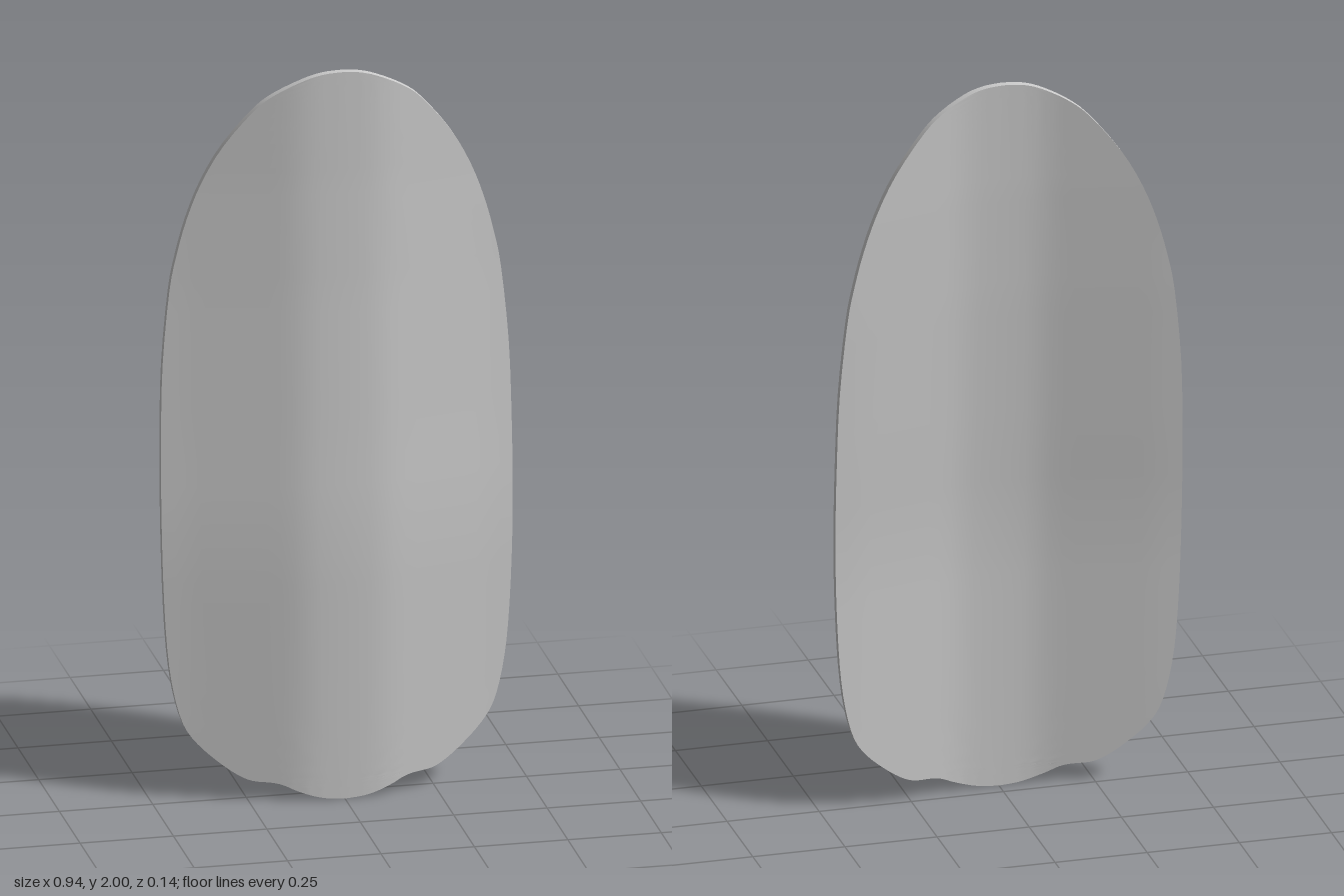
import * as THREE from 'three';
import { mergeVertices, toCreasedNormals } from 'three/addons/utils/BufferGeometryUtils.js';

const THICKNESS = 0.02;
const COLUMNS = 28;

// Half outline (x, y), from the bottom tip round to the top
const outline = [
  [0.004, 0], [0.05, 0.004], [0.09, 0.014], [0.13, 0.029], [0.16, 0.043], [0.19, 0.05],
  [0.24, 0.055], [0.28, 0.073], [0.33, 0.11], [0.38, 0.157], [0.415, 0.21], [0.44, 0.3],
  [0.456, 0.42], [0.466, 0.6], [0.47, 0.8], [0.469, 1.0], [0.463, 1.2], [0.444, 1.4],
  [0.425, 1.5], [0.398, 1.6], [0.36, 1.7], [0.305, 1.8], [0.225, 1.9], [0.17, 1.945],
  [0.1, 1.981], [0.05, 1.996], [0.004, 2],
];

// Depth of the centre line by height, and sweep-back by distance from centre
const spine = [[0, 0.064], [0.65, 0.064], [0.8, 0.06], [1, 0.05], [1.4, 0.032], [1.7, 0.022], [2, 0.016]];
const sweep = [[0, 0], [0.06, -0.001], [0.1, -0.004], [0.14, -0.011], [0.2, -0.026], [0.3, -0.051], [0.4, -0.076], [0.48, -0.093]];

function lookup(table, v) {
  let i = 1;
  while (i < table.length - 1 && v > table[i][0]) i++;
  const [a, b] = [table[i - 1], table[i]];
  return THREE.MathUtils.mapLinear(v, a[0], b[0], a[1], b[1]);
}

const frontZ = (x, y) => lookup(spine, y) + lookup(sweep, Math.abs(x));

// Closed cross-section at one height: front left to right, then back right to left
function section(halfWidth, y) {
  const ring = [];
  for (let i = 0; i <= COLUMNS; i++) {
    const x = halfWidth * (2 * i / COLUMNS - 1);
    ring.push([x, y, frontZ(x, y)]);
  }
  const back = ring.map(([x, h, z]) => [x, h, z - THICKNESS]).reverse();
  return ring.concat(back);
}

function plateGeometry() {
  const rows = new THREE.SplineCurve(outline.map(([x, y]) => new THREE.Vector2(x, y))).getPoints(78);
  const positions = rows.flatMap((p) => section(p.x, p.y).flat());
  const n = 2 * (COLUMNS + 1);
  const index = [];
  for (let r = 0; r < rows.length - 1; r++) {
    for (let i = 0; i < n; i++) {
      const a = r * n + i, b = r * n + (i + 1) % n;
      index.push(a, b, b + n, a, b + n, a + n);
    }
  }
  // Bottom and top end caps
  const last = (rows.length - 1) * n;
  for (let i = 0; i < COLUMNS; i++) {
    const a = i, b = i + 1, c = n - 2 - i, d = n - 1 - i;
    index.push(a, c, b, a, d, c);
    index.push(last + a, last + b, last + c, last + a, last + c, last + d);
  }
  const geometry = new THREE.BufferGeometry();
  geometry.setAttribute('position', new THREE.Float32BufferAttribute(positions, 3));
  geometry.setIndex(index);
  return toCreasedNormals(mergeVertices(geometry), Math.PI / 5);
}

export function createModel() {
  const group = new THREE.Group();
  group.name = 'curvedPanel';
  const plate = new THREE.Mesh(plateGeometry(), new THREE.MeshStandardMaterial({ color: 0xcccccc }));
  plate.name = 'plate';
  group.add(plate);
  return group;
}
